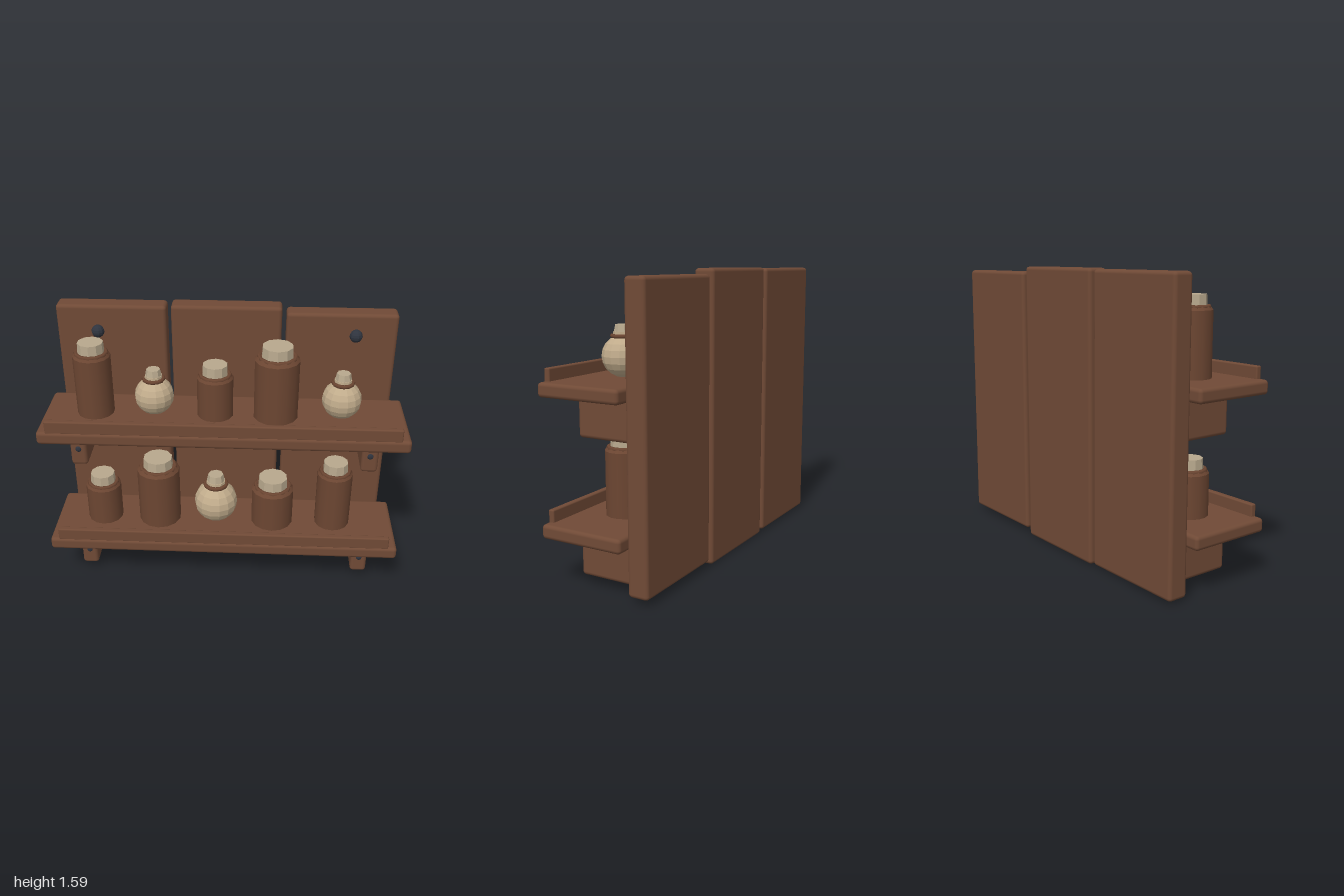
import * as THREE from 'three';
import { RoundedBoxGeometry } from 'three/addons/geometries/RoundedBoxGeometry.js';

const flat = (name, color, flatShading = false) => {
  const m = new THREE.MeshStandardMaterial({ color, flatShading });
  m.name = name;
  return m;
};

export function createModel() {
  const wood = flat('brown wood', 0x704a36);
  const jarBrown = flat('brown jar', 0x6c4632);
  const cork = flat('pale lid', 0xb8a88d, true);
  const clay = flat('tan clay', 0xc0ab8b, true);
  const iron = flat('dark iron', 0x2f343e, true);

  const model = new THREE.Group();
  model.name = 'wallShelf';

  const add = (parent, name, geometry, material, x = 0, y = 0, z = 0) => {
    const mesh = new THREE.Mesh(geometry, material);
    mesh.name = name;
    mesh.position.set(x, y, z);
    parent.add(mesh);
    return mesh;
  };

  // Softly rounded board given by its extents
  const board = (name, x0, x1, y0, y1, z0, z1, r) =>
    add(model, name, new RoundedBoxGeometry(x1 - x0, y1 - y0, z1 - z0, 2, r), wood,
      (x0 + x1) / 2, (y0 + y1) / 2, (z0 + z1) / 2);

  const collar = (parent, radius, tube, y) => {
    const ring = add(parent, 'collar', new THREE.TorusGeometry(radius, tube, 6, 12), jarBrown, 0, y, 0);
    ring.rotation.x = Math.PI / 2;
  };

  const SHELF_Z = 0.035;
  const holder = (name, x, y) => {
    const g = new THREE.Group();
    g.name = name;
    g.position.set(x, y, SHELF_Z);
    model.add(g);
    return g;
  };

  // Straight jar: body with a sloped shoulder, collar ring and lid
  const jar = (x, y, r, h) => {
    const g = holder('jar', x, y);
    add(g, 'jarBody', new THREE.CylinderGeometry(r, r, h - 0.02, 14), jarBrown, 0, (h - 0.02) / 2, 0);
    add(g, 'jarShoulder', new THREE.CylinderGeometry(r * 0.86, r, 0.02, 14), jarBrown, 0, h - 0.01, 0);
    collar(g, r * 0.8, 0.012, h - 0.005);
    add(g, 'jarLid', new THREE.CylinderGeometry(r * 0.68, r * 0.71, 0.06, 10), cork, 0, h + 0.027, 0);
  };

  // Round flask: globe, collar ring and tapered stopper
  const flask = (x, y, r) => {
    const g = holder('flask', x, y);
    add(g, 'flaskBody', new THREE.SphereGeometry(r, 14, 10), clay, 0, r, 0);
    collar(g, r * 0.5, r * 0.1, r * 1.93);
    add(g, 'flaskNeck', new THREE.CylinderGeometry(r * 0.44, r * 0.46, r * 0.3, 10), clay, 0, r * 1.98, 0);
    add(g, 'flaskStopper', new THREE.CylinderGeometry(r * 0.35, r * 0.43, r * 0.4, 8), cork, 0, r * 2.26, 0);
  };

  // Three upright back planks
  board('backPlank', -0.94, -0.33, 0.01, 1.585, -0.295, -0.18, 0.02);
  board('backPlank', -0.305, 0.305, 0.0, 1.59, -0.295, -0.18, 0.02);
  board('backPlank', 0.33, 0.94, 0.03, 1.56, -0.295, -0.18, 0.02);

  // Two shelves, each with a front lip and a pair of screwed brackets
  for (const top of [0.335, 1.05]) {
    board('shelf', -1, 1, top - 0.075, top, -0.18, 0.295, 0.02);
    board('shelfLip', -0.95, 0.95, top - 0.01, top + 0.065, 0.255, 0.288, 0.008);
    for (const side of [-1, 1]) {
      const cx = side * 0.81;
      board('bracket', cx - 0.047, cx + 0.047, top - 0.285, top - 0.07, -0.18, 0.16, 0.02);
      const screw = add(model, 'screw', new THREE.SphereGeometry(0.02, 8, 6), iron, cx, top - 0.18, 0.155);
      screw.scale.z = 0.6;
    }
  }

  // Nails in the outer planks
  for (const side of [-1, 1])
    add(model, 'nail', new THREE.SphereGeometry(0.036, 10, 8), iron, side * 0.712, 1.44, -0.17);

  // Upper row
  jar(-0.715, 1.05, 0.102, 0.36);
  flask(-0.385, 1.05, 0.108);
  jar(-0.05, 1.05, 0.1, 0.245);
  jar(0.283, 1.05, 0.123, 0.36);
  flask(0.64, 1.05, 0.108);

  // Lower row
  jar(-0.715, 0.335, 0.102, 0.245);
  jar(-0.385, 0.335, 0.123, 0.36);
  flask(-0.05, 0.335, 0.126);
  jar(0.283, 0.335, 0.123, 0.245);
  jar(0.64, 0.335, 0.102, 0.36);

  return model;
}
